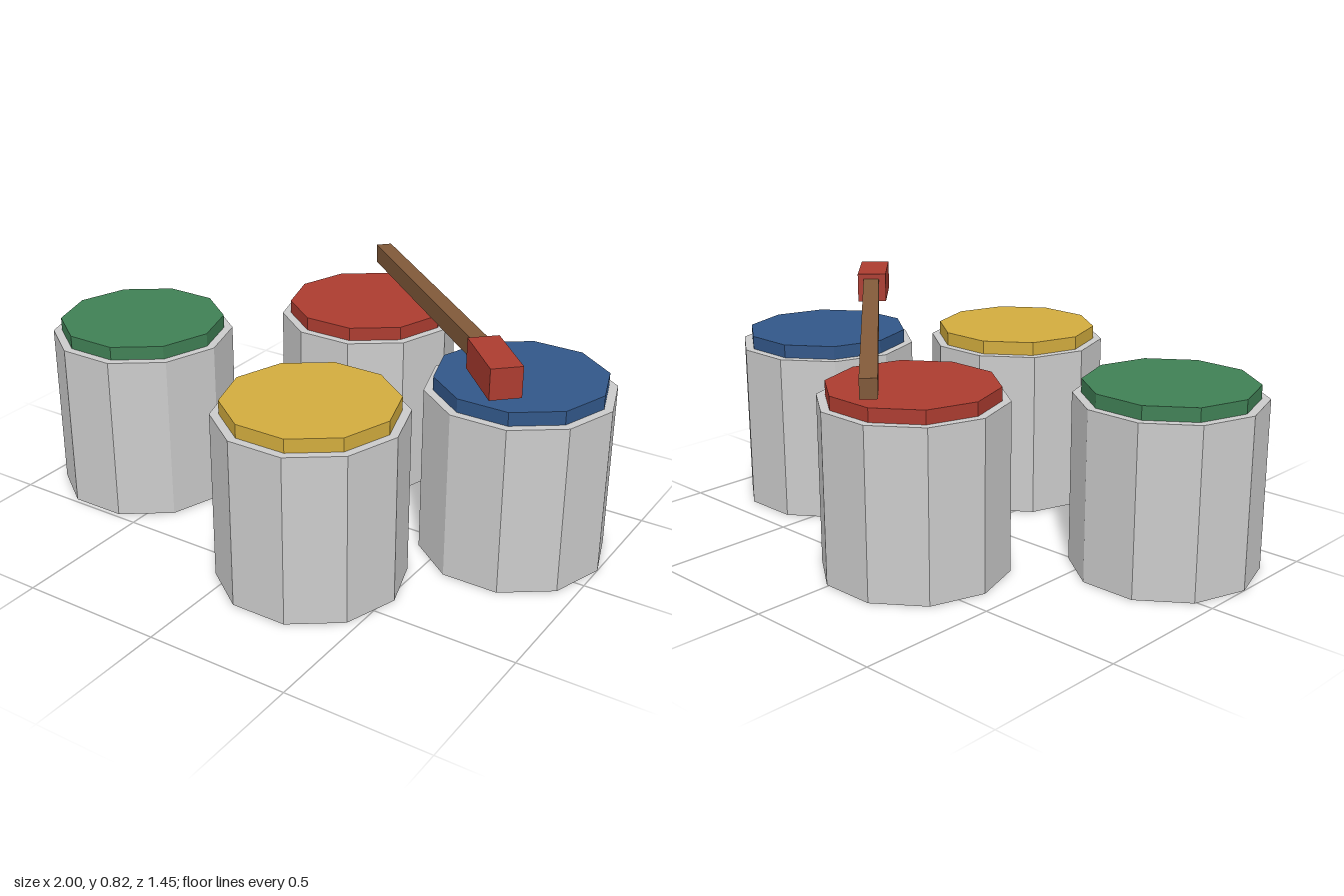
import * as THREE from 'three';

const paint = (color) => new THREE.MeshStandardMaterial({ color, flatShading: true });

// Ten-sided prism standing on height y, with corners on the x axis
function decagon(name, radius, y, height, material) {
  const geometry = new THREE.CylinderGeometry(radius, radius, height, 10);
  geometry.rotateY(Math.PI / 10);
  const mesh = new THREE.Mesh(geometry, material);
  mesh.name = name;
  mesh.position.y = y + height / 2;
  return mesh;
}

// Square-section bar running between two points
function bar(name, from, to, width, height, material) {
  const mesh = new THREE.Mesh(new THREE.BoxGeometry(width, height, from.distanceTo(to)), material);
  mesh.name = name;
  mesh.position.copy(from).add(to).multiplyScalar(0.5);
  mesh.lookAt(to);
  return mesh;
}

export function createModel() {
  const model = new THREE.Group();
  model.name = 'drumSet';
  const grey = paint(0xcccccc);
  const red = paint(0xac3c30);

  // Four drums, each a grey body with a coloured skin
  const drums = [
    ['green', -0.68, 0.18, paint(0x408055)],
    ['red', -0.09, -0.41, red],
    ['yellow', 0.205, 0.415, paint(0xd2ac3e)],
    ['blue', 0.68, -0.11, paint(0x325789)],
  ];
  for (const [name, x, z, skin] of drums) {
    const drum = new THREE.Group();
    drum.name = name + 'Drum';
    drum.add(decagon('drumBody', 0.32, 0, 0.59, grey));
    drum.add(decagon('drumSkin', 0.29, 0.59, 0.047, skin));
    drum.position.set(x, 0, z);
    model.add(drum);
  }

  // Drumstick: sloping wooden handle with a level red head
  const stick = new THREE.Group();
  stick.name = 'drumstick';
  const v = (x, y, z) => new THREE.Vector3(x, y, z);
  stick.add(bar('stickHandle', v(-0.21, 0.708, -0.708), v(0.635, 0.768, 0.075), 0.057, 0.067, paint(0x825a3a)));
  stick.add(bar('stickHead', v(0.62, 0.768, 0.064), v(0.79, 0.768, 0.238), 0.104, 0.104, red));
  model.add(stick);

  return model;
}
